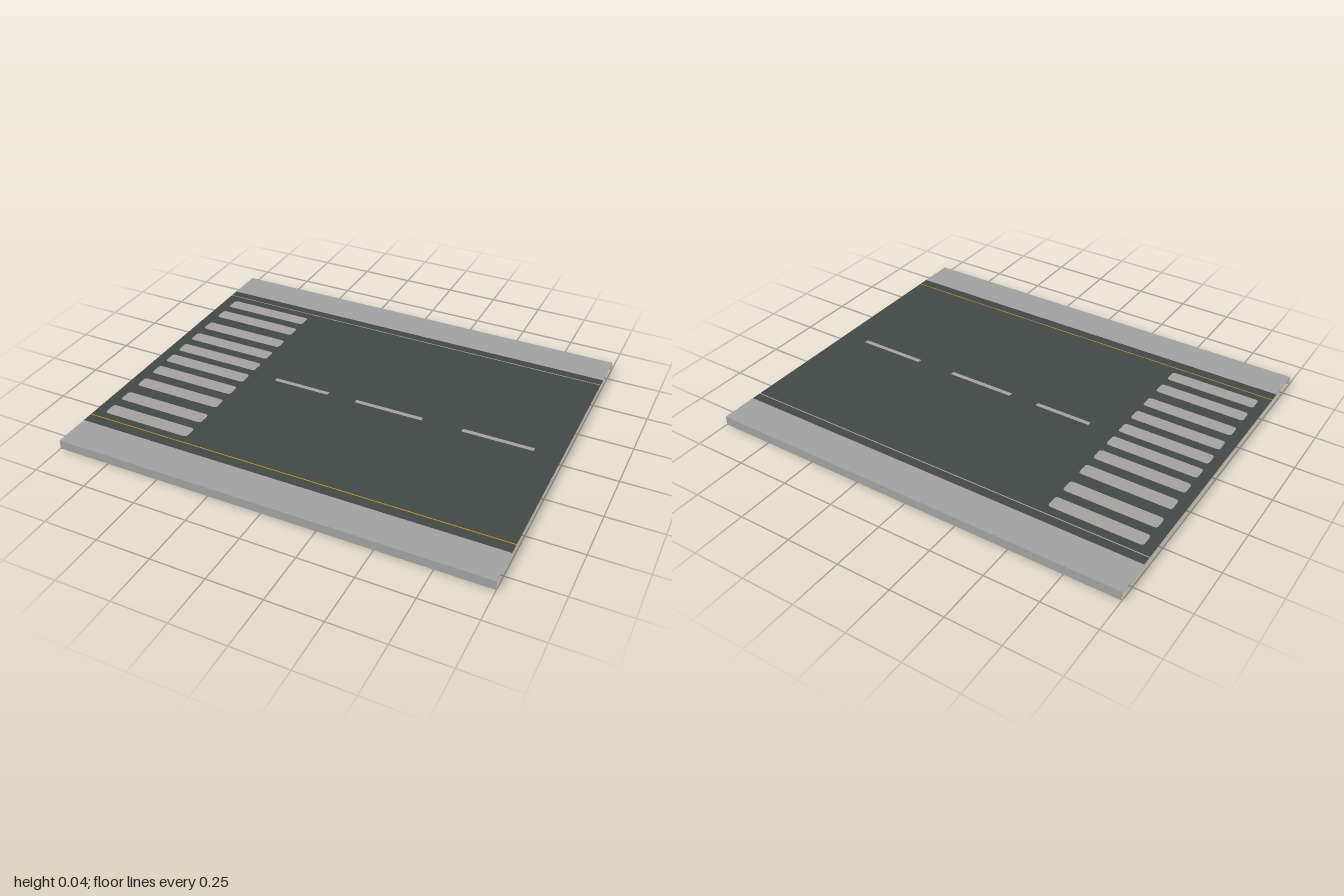
import * as THREE from 'three';

const TOP = 0.043, EDGE = 0.832, KERB = 0.661;

const mat = (name, color) => {
  const m = new THREE.MeshStandardMaterial({ color, side: THREE.DoubleSide });
  m.name = name;
  return m;
};

// Rectangle outline with optional rounded corners; z runs towards the front
function rect(x0, x1, z0, z1, r = 0, Type = THREE.Shape) {
  const s = new Type(), a = -z1, b = -z0;
  if (!r) {
    s.moveTo(x0, a).lineTo(x1, a).lineTo(x1, b).lineTo(x0, b).closePath();
    return s;
  }
  s.moveTo(x0 + r, a).lineTo(x1 - r, a).quadraticCurveTo(x1, a, x1, a + r);
  s.lineTo(x1, b - r).quadraticCurveTo(x1, b, x1 - r, b);
  s.lineTo(x0 + r, b).quadraticCurveTo(x0, b, x0, b - r);
  s.lineTo(x0, a + r).quadraticCurveTo(x0, a, x0 + r, a);
  return s;
}

export function createModel() {
  const group = new THREE.Group();
  const asphalt = mat('asphalt', 0x414846);
  const concrete = mat('concrete', 0xa1a1a1);
  const paint = mat('white paint', 0xa3a2a1);
  const yellow = mat('yellow paint', 0xc0901a);

  // Flat sheet lying at road height
  const sheet = (name, shape, material) => {
    const geo = new THREE.ShapeGeometry(shape, 4).rotateX(-Math.PI / 2);
    const mesh = new THREE.Mesh(geo, material);
    mesh.name = name;
    mesh.position.y = TOP;
    group.add(mesh);
  };

  // Markings are inlaid in the road so they show on both sides
  const marks = [];
  const mark = (name, material, ...r) => marks.push({ name, material, r });

  // Pedestrian crossing
  for (const c of [0.055, 0.17, 0.29, 0.42, 0.537]) {
    for (const s of [-1, 1]) {
      mark('crossingStripe', paint, -0.95, -0.52, s * c - 0.034, s * c + 0.034, 0.016);
    }
  }

  // Centre dashes
  for (const [x0, x1] of [[-0.39, -0.115], [0.025, 0.355], [0.545, 0.875]]) {
    mark('centreDash', paint, x0, x1, -0.011, 0.011);
  }

  // Road surface, divided at the two full-length edge lines
  const road = rect(-1, 1, -0.613, 0.607);
  for (const { name, material, r } of marks) {
    sheet(name, rect(...r), material);
    road.holes.push(rect(...r, ...(r.length < 5 ? [0] : []), THREE.Path));
  }
  sheet('roadSurface', road, asphalt);
  sheet('backEdgeLine', rect(-1, 1, -0.618, -0.613), paint);
  sheet('frontEdgeLine', rect(-1, 1, 0.607, 0.612), yellow);
  sheet('backRoadMargin', rect(-1, 1, -KERB, -0.618), asphalt);
  sheet('frontRoadMargin', rect(-1, 1, 0.612, KERB), asphalt);

  // Pavements with their outer skirts
  for (const s of [-1, 1]) {
    const side = s > 0 ? 'front' : 'back';
    sheet(side + 'Pavement', s > 0 ? rect(-1, 1, KERB, EDGE) : rect(-1, 1, -EDGE, -KERB), concrete);
    const skirt = new THREE.Mesh(new THREE.PlaneGeometry(2, TOP), concrete);
    skirt.name = side + 'Skirt';
    skirt.position.set(0, TOP / 2, s * EDGE);
    if (s < 0) skirt.rotation.y = Math.PI;
    group.add(skirt);
  }
  return group;
}
